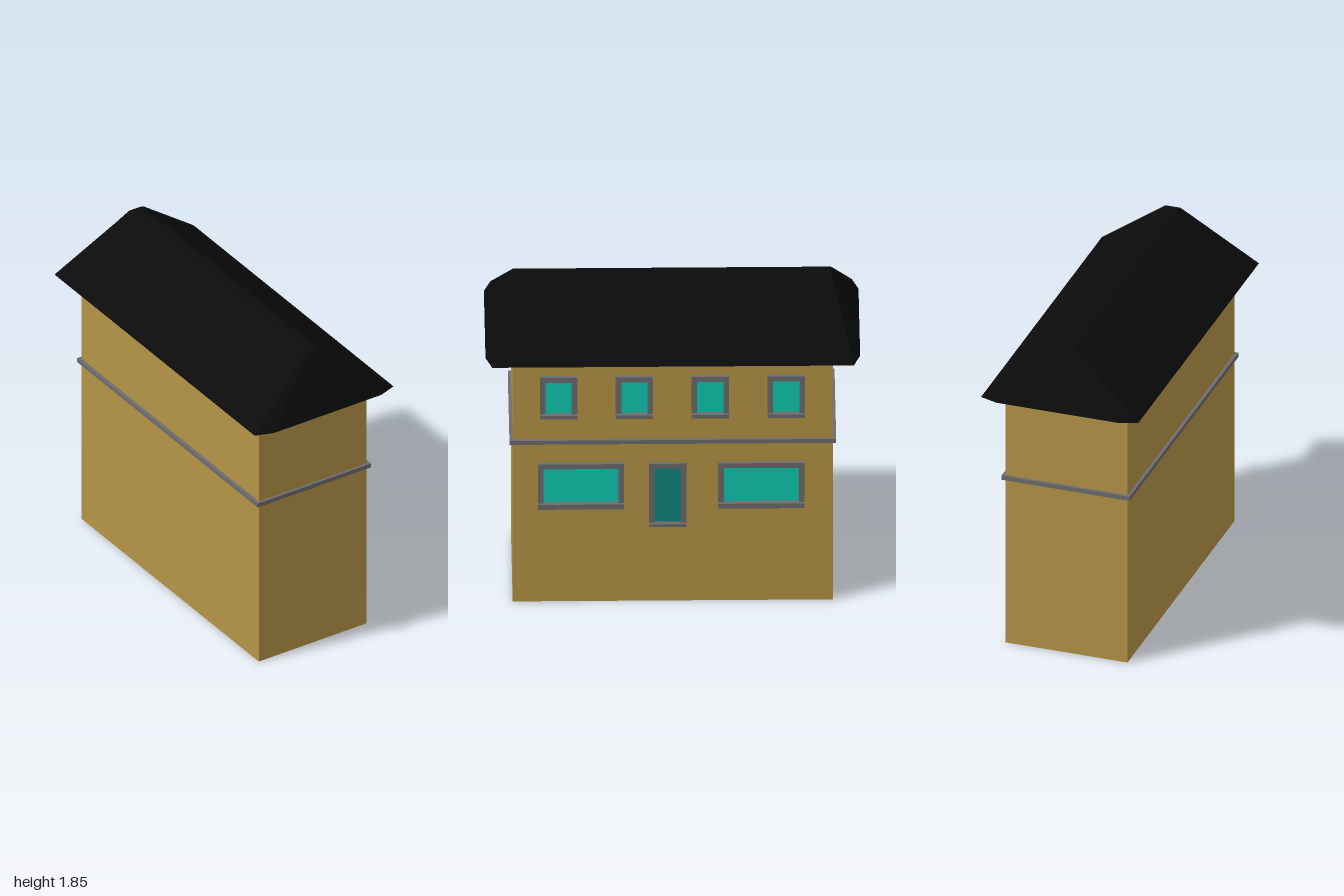
import * as THREE from 'three';

const mat = (color) => new THREE.MeshStandardMaterial({ color, flatShading: true });
const wall = mat(0xb59446), trim = mat(0x6e6c6e), glass = mat(0x10cbb4), doorMat = mat(0x12877d), black = mat(0x0b0b0b);
const WALL_X = 0.345;

// Box given by its minimum and maximum corners
function box(name, material, [x0, y0, z0], [x1, y1, z1]) {
  const mesh = new THREE.Mesh(new THREE.BoxGeometry(x1 - x0, y1 - y0, z1 - z0), material);
  mesh.position.set((x0 + x1) / 2, (y0 + y1) / 2, (z0 + z1) / 2);
  mesh.name = name;
  return mesh;
}

// Framed pane with a projecting sill, mounted on the +x wall
function opening(name, z0, z1, y0, y1, sillHeight, paneMaterial) {
  const group = new THREE.Group();
  group.name = name;
  const w = 0.03, out = 0.365, base = WALL_X - 0.005, ys = y0 + sillHeight;
  group.add(
    box('pane', paneMaterial, [base, ys, z0 + w], [0.351, y1 - w, z1 - w]),
    box('frameTop', trim, [base, y1 - w, z0], [out, y1, z1]),
    box('frameSide', trim, [base, ys, z0], [out, y1 - w, z0 + w]),
    box('frameSide', trim, [base, ys, z1 - w], [out, y1 - w, z1]),
    box('sill', trim, [base, y0, z0], [0.38, ys, z1])
  );
  return group;
}

// Hipped roof: stacked octagonal rings with cut corners, capped at both ends
function roof() {
  // each ring: y, half width, half length, corner cut in x, corner cut in z
  const rings = [
    [1.52, 0.445, 1.0, 0.1, 0.035],
    [1.838, 0.05, 0.857, 0.012, 0.008],
    [1.85, 0.025, 0.835, 0.008, 0.005],
  ];
  const pos = [], index = [], n = 8;
  for (const [y, x, z, cx, cz] of rings) {
    const outline = [[x, z - cz], [x, cz - z], [x - cx, -z], [cx - x, -z],
      [-x, cz - z], [-x, z - cz], [cx - x, z], [x - cx, z]];
    for (const [px, pz] of outline) pos.push(px, y, pz);
  }
  for (let r = 0; r < rings.length - 1; r++) {
    for (let i = 0; i < n; i++) {
      const a = r * n + i, b = r * n + (i + 1) % n;
      index.push(a, b, b + n, a, b + n, a + n);
    }
  }
  const top = (rings.length - 1) * n;
  for (let i = 1; i < n - 1; i++) {
    index.push(0, i + 1, i);
    index.push(top, top + i, top + i + 1);
  }
  const geo = new THREE.BufferGeometry();
  geo.setAttribute('position', new THREE.Float32BufferAttribute(pos, 3));
  geo.setIndex(index);
  const flat = geo.toNonIndexed();
  flat.computeVertexNormals();
  const mesh = new THREE.Mesh(flat, black);
  mesh.name = 'roof';
  return mesh;
}

export function createModel() {
  const house = new THREE.Group();
  house.name = 'house';

  house.add(box('walls', wall, [-WALL_X, 0, -0.855], [WALL_X, 1.52, 0.855]));
  house.add(box('storeyBand', trim, [-0.363, 0.988, -0.872], [0.363, 1.012, 0.872]));
  house.add(roof());

  // Upper row of small windows
  for (let i = 0; i < 4; i++) {
    const z = 0.61 - i * 0.405;
    house.add(opening('upperWindow', z - 0.1, z + 0.1, 1.155, 1.405, 0.022, glass));
  }

  // Lower wide windows and the door between them
  for (const z of [0.49, -0.472]) {
    house.add(opening('lowerWindow', z - 0.23, z + 0.23, 0.592, 0.865, 0.03, glass));
  }
  house.add(opening('door', -0.072, 0.128, 0.48, 0.865, 0.017, doorMat));

  return house;
}
